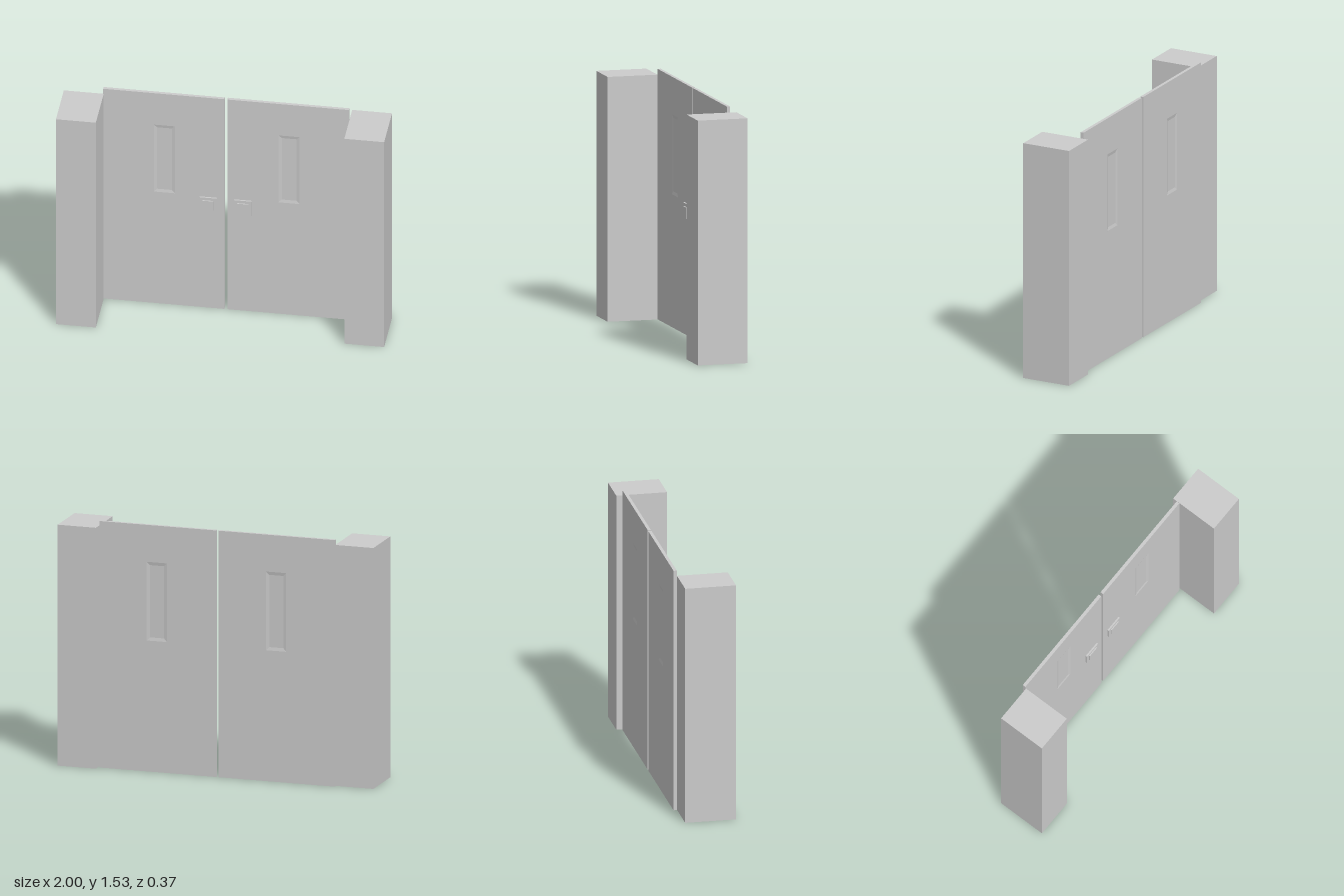
import * as THREE from 'three';

const grey = new THREE.MeshStandardMaterial({ color: 0xcccccc, flatShading: true, side: THREE.DoubleSide });

function addMesh(parent, name, geometry, x = 0, y = 0, z = 0) {
  const mesh = new THREE.Mesh(geometry, grey);
  mesh.name = name;
  mesh.position.set(x, y, z);
  parent.add(mesh);
  return mesh;
}

// Box without its underside
function openBox(w, h, d) {
  const geo = new THREE.BoxGeometry(w, h, d);
  const index = Array.from(geo.index.array);
  index.splice(18, 6);
  geo.setIndex(index);
  return geo;
}

// Shallow rectangular recess facing +z: four sloping sides and a flat floor
function recessGeometry(w, h, bevel, depth) {
  const points = [];
  for (const [inset, z] of [[0, 0], [bevel, -depth]]) {
    const a = w / 2 - inset, b = h / 2 - inset;
    points.push(-a, -b, z, a, -b, z, a, b, z, -a, b, z);
  }
  const index = [4, 5, 6, 4, 6, 7];
  for (let i = 0; i < 4; i++) {
    const j = (i + 1) % 4;
    index.push(i, j, j + 4, i, j + 4, i + 4);
  }
  const geo = new THREE.BufferGeometry();
  geo.setAttribute('position', new THREE.Float32BufferAttribute(points, 3));
  geo.setIndex(index);
  geo.computeVertexNormals();
  return geo;
}

function rectangle(PathType, x0, x1, y0, y1) {
  return new PathType([[x0, y0], [x1, y0], [x1, y1], [x0, y1]].map(p => new THREE.Vector2(...p)));
}

const doorBack = -0.15, doorFront = -0.13, doorHeight = 1.535;

function makeDoor(name, x0, x1, panelX, handleX) {
  const door = new THREE.Group();
  door.name = name;
  const panelW = 0.13, panelH = 0.49, panelY = 1.06;

  // Leaf with an opening for the sunken panel
  const shape = rectangle(THREE.Shape, x0, x1, 0, doorHeight);
  shape.holes.push(rectangle(THREE.Path, panelX - panelW / 2, panelX + panelW / 2,
    panelY - panelH / 2, panelY + panelH / 2));
  const leaf = new THREE.ExtrudeGeometry(shape, { depth: doorFront - doorBack, bevelEnabled: false });
  addMesh(door, 'doorLeaf', leaf, 0, 0, doorBack);

  // Sunken panel on both faces
  const recess = recessGeometry(panelW, panelH, 0.02, 0.004);
  addMesh(door, 'frontPanel', recess, panelX, panelY, doorFront);
  addMesh(door, 'backPanel', recess, panelX, panelY, doorBack).rotation.y = Math.PI;

  // Square handle: plate with a smaller raised block
  addMesh(door, 'handlePlate', new THREE.BoxGeometry(0.108, 0.108, 0.01), handleX, 0.755, doorFront + 0.005);
  addMesh(door, 'handleBlock', new THREE.BoxGeometry(0.07, 0.07, 0.007), handleX, 0.755, doorFront + 0.0135);
  return door;
}

export function createModel() {
  const model = new THREE.Group();
  model.name = 'doubleDoor';

  // Side pillars, staggered in depth and open underneath
  const pillar = openBox(0.244, 1.5, 0.314);
  addMesh(model, 'rightPillar', pillar, -0.878, 0.75, 0.029);
  addMesh(model, 'leftPillar', pillar, 0.878, 0.75, -0.029);

  // Pair of doors with a narrow gap
  model.add(makeDoor('rightDoor', -0.76, -0.018, -0.385, -0.116));
  model.add(makeDoor('leftDoor', 0, 0.745, 0.378, 0.097));
  return model;
}
